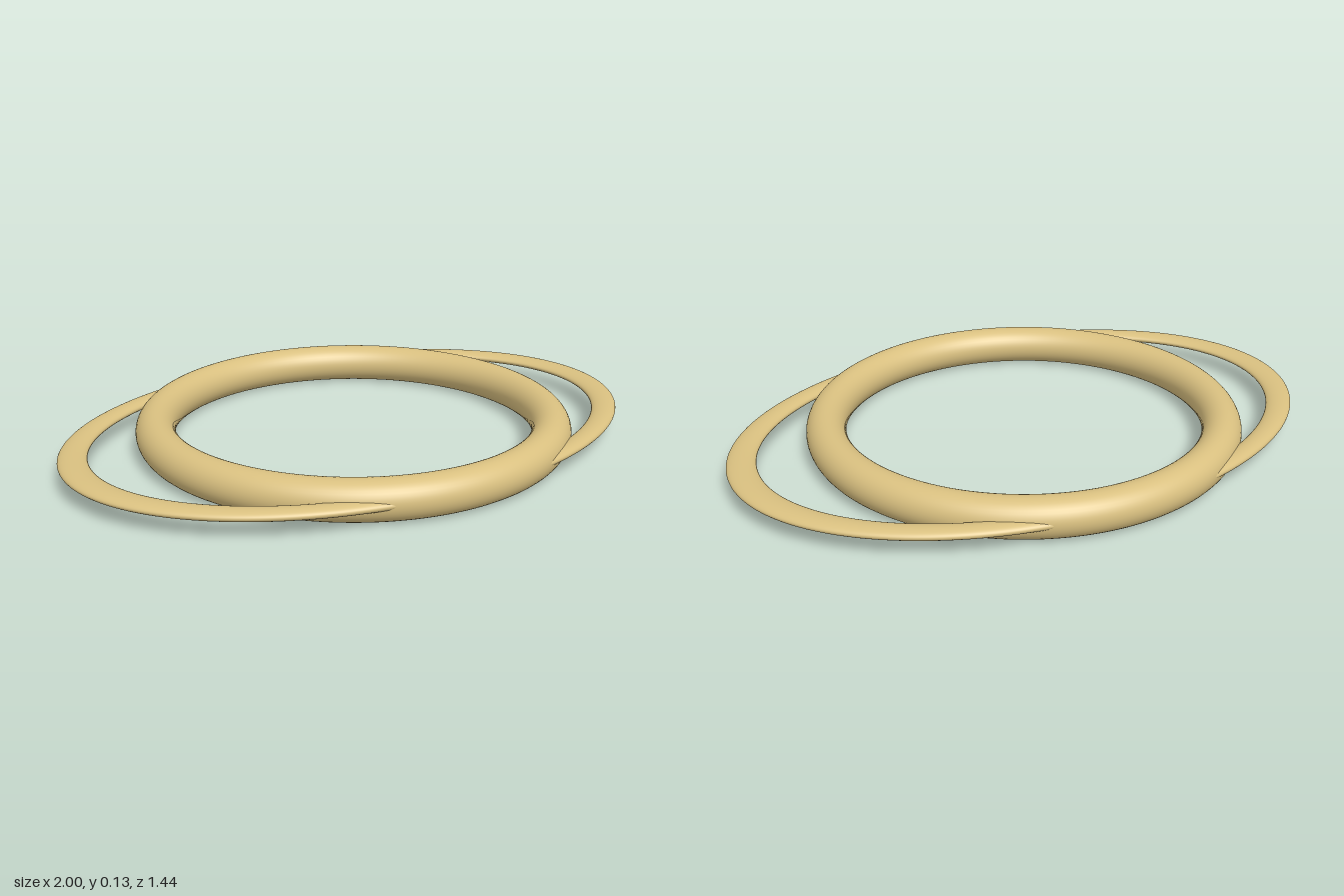
import * as THREE from 'three';

// Lying torus, optionally stretched into a flat ellipse
function ring(name, material, radius, tube, y, scale = [1, 1, 1]) {
  const geometry = new THREE.TorusGeometry(radius, tube, 40, 160);
  geometry.rotateX(Math.PI / 2);
  geometry.scale(...scale);
  const mesh = new THREE.Mesh(geometry, material);
  mesh.name = name;
  mesh.position.y = y;
  return mesh;
}

export function createModel() {
  const group = new THREE.Group();
  group.name = 'crossedRings';
  const gold = new THREE.MeshStandardMaterial({ color: 0xd9c080 });
  gold.name = 'pale gold';

  // Thick round ring
  group.add(ring('roundRing', gold, 0.656, 0.065, 0.065));
  // Thin flattened oval ring passing through it
  group.add(ring('ovalRing', gold, 0.9525, 0.0475, 0.067, [1, 0.36, 0.69]));

  return group;
}
